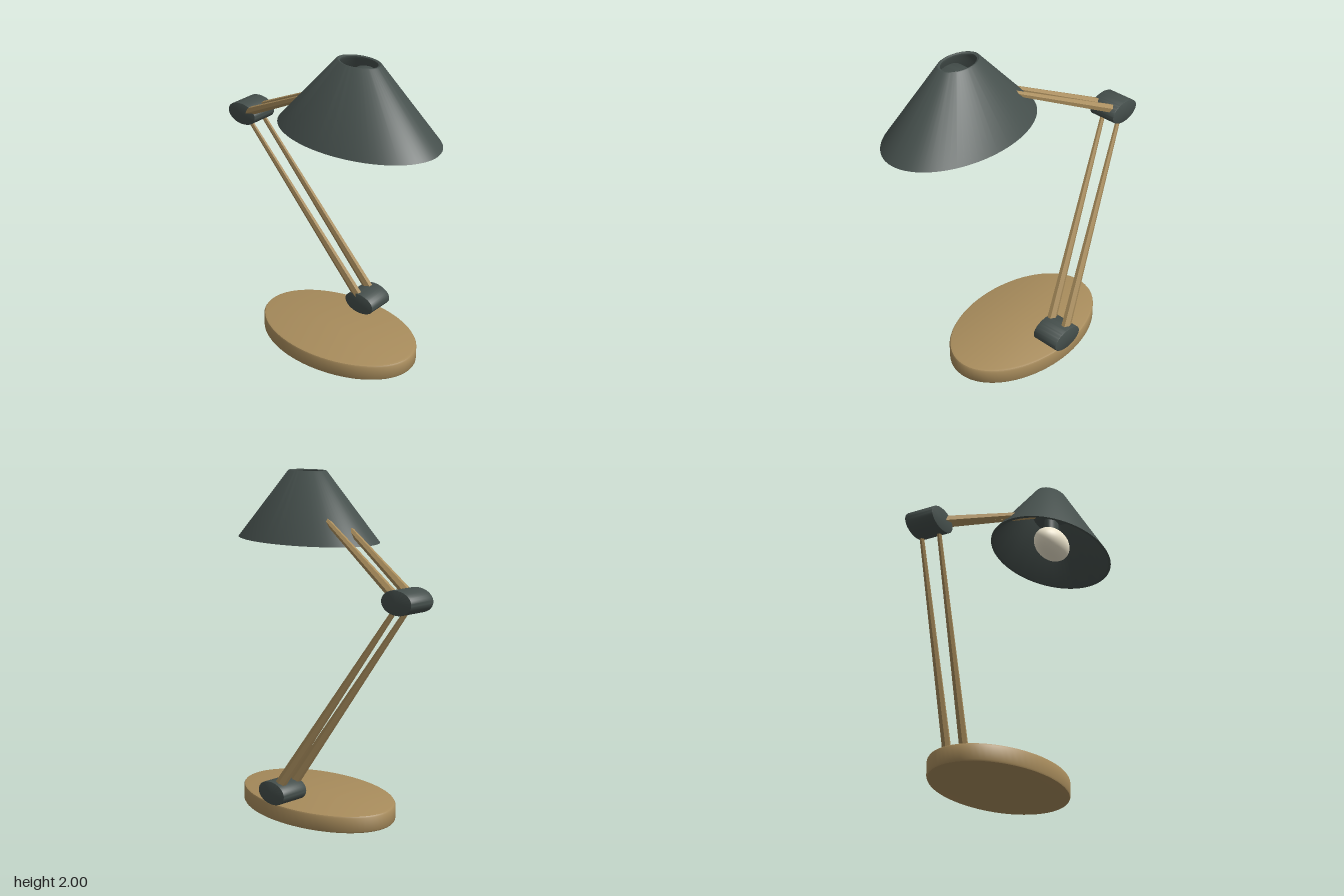
import * as THREE from 'three';
import { toCreasedNormals } from 'three/addons/utils/BufferGeometryUtils.js';

// Everything round is squashed into an ellipse by the same amounts.
const SY = 0.62, SZ = 0.64;
const squash = new THREE.Matrix4().makeScale(1, SY, SZ);
// final coordinates -> coordinates before the squash
const at = (x, y, z) => new THREE.Vector3(x, y / SY, z / SZ);

const wood = new THREE.MeshStandardMaterial({ color: 0xa88c5c });
const woodFlat = new THREE.MeshStandardMaterial({ color: 0xa88c5c, flatShading: true });
const metal = new THREE.MeshStandardMaterial({ color: 0x454f4c });
const glass = new THREE.MeshStandardMaterial({ color: 0xf0e8d0 });

export function createModel() {
  const lamp = new THREE.Group();
  lamp.name = 'deskLamp';

  function add(name, geometry, material, position) {
    geometry.translate(position.x, position.y, position.z);
    geometry.applyMatrix4(squash);
    const mesh = new THREE.Mesh(geometry, material);
    mesh.name = name;
    lamp.add(mesh);
  }

  function lathe(points) {
    const profile = points.map(([r, y]) => new THREE.Vector2(r, y));
    return toCreasedNormals(new THREE.LatheGeometry(profile, 72), 0.6);
  }

  // Solid disc with softened rims, standing on y = 0
  function disc(r, h, b) {
    return lathe([[0, 0], [r - b, 0], [r - 0.3 * b, 0.3 * b], [r, b],
      [r, h - b], [r - 0.3 * b, h - 0.3 * b], [r - b, h], [0, h]]);
  }

  // Base plate
  add('base', disc(0.547, 0.105 / SY, 0.02), wood, at(0.022, 0, -0.08));

  // Pivot barrels, lying along z
  const pivots = {
    base: [0.026, 0.175, -0.364],
    elbow: [-0.725, 1.358, -0.13],
    head: [0.318, 1.88, 0.12],
  };
  for (const [key, p] of Object.entries(pivots)) {
    const length = 0.18 / SZ;
    const barrel = disc(0.111, length, 0.007).translate(0, -length / 2, 0).rotateX(Math.PI / 2);
    add(key + 'Joint', barrel, metal, at(...p));
  }

  // Tapered six-sided rods, in pairs, thick at the lower end
  function rodPair(name, from, to) {
    for (const side of [-1, 1]) {
      const a = at(from[0], from[1], from[2] + side * 0.057);
      const b = at(to[0], to[1], to[2] + side * 0.057);
      const dir = b.clone().sub(a);
      const rod = new THREE.CylinderGeometry(0.017, 0.04, dir.length(), 6);
      rod.applyQuaternion(new THREE.Quaternion().setFromUnitVectors(
        new THREE.Vector3(0, 1, 0), dir.clone().normalize()));
      add(name + (side > 0 ? 'Front' : 'Back'), rod, woodFlat, a.add(b).multiplyScalar(0.5));
    }
  }
  rodPair('lowerArm', pivots.base, pivots.elbow);
  rodPair('upperArm', pivots.elbow, pivots.head);

  // Hollow conical shade with an open top
  const h = 0.412 / SY;
  add('shade', lathe([[0.517, 0], [0.14, h], [0.132, h + 0.004], [0.118, h - 0.004],
    [0.118, h - 0.025], [0.488, 0.006], [0.495, 0], [0.517, 0]]), metal, at(0.318, 1.588, 0.122));

  // Bulb and its socket
  add('bulb', new THREE.SphereGeometry(0.155, 40, 24), glass, at(0.318, 1.66, 0.122));
  add('socket', new THREE.CylinderGeometry(0.06, 0.06, 0.16, 32), metal, at(0.318, 1.79, 0.122));

  return lamp;
}
